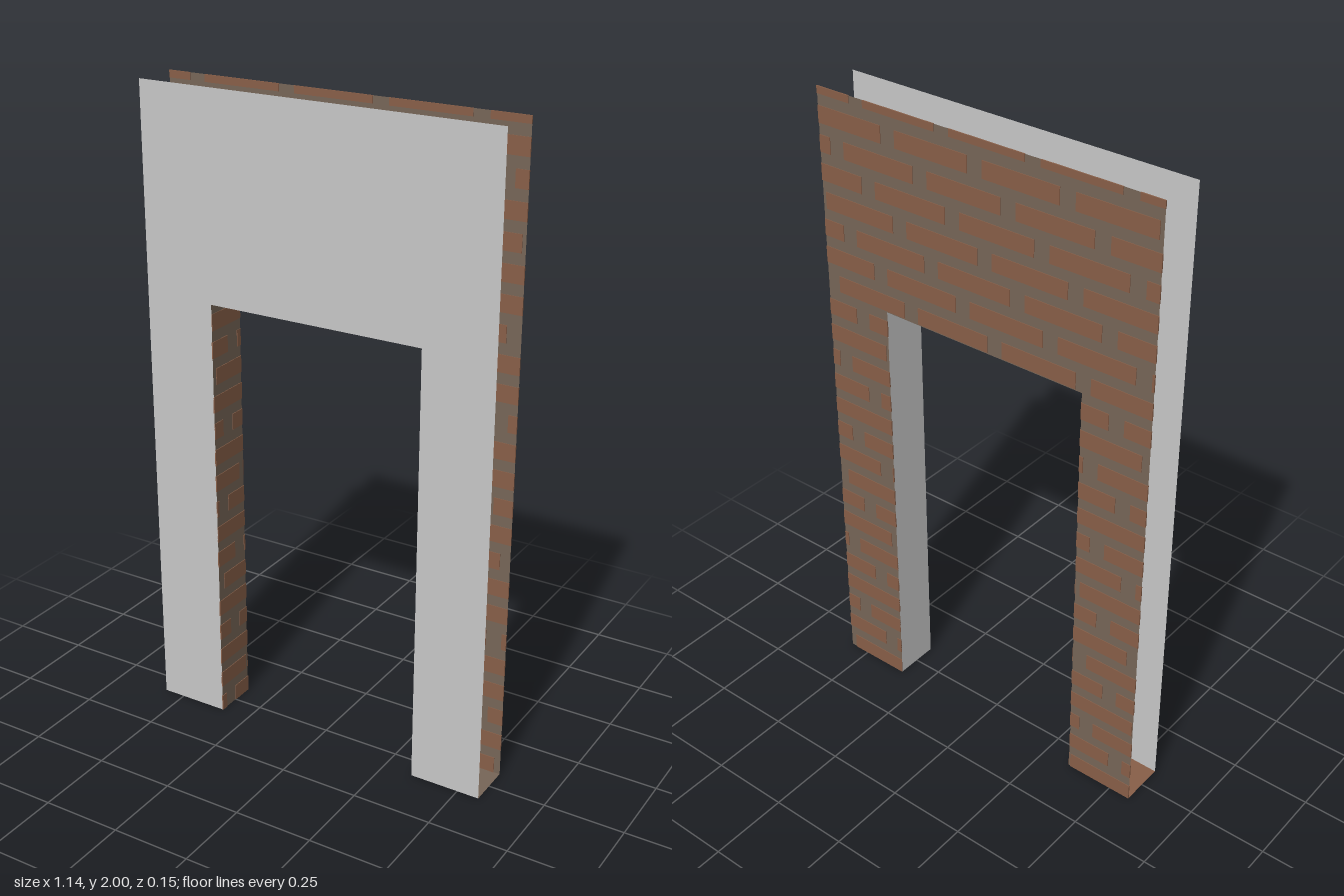
import * as THREE from 'three';
import { mergeGeometries } from 'three/addons/utils/BufferGeometryUtils.js';

const W = 0.57, H = 2, D = 0.072;      // half width, height, half depth
const OX = 0.345, OY = 1.372;          // doorway half width and height
const COURSE = 0.086, BRICK_H = 0.052; // brick course spacing and height
const BRICK_L = 0.25, GAP = 0.05;

export function createModel() {
  const paint = (name, color) => {
    const m = new THREE.MeshStandardMaterial({ color, side: THREE.DoubleSide });
    m.name = name;
    return m;
  };
  const plaster = paint('grey plaster', 0xc8c8c8);
  const brick = paint('red brown brick', 0x885f48);
  const mortar = paint('grey brown mortar', 0x776658);

  const model = new THREE.Group();
  model.name = 'doorwayWall';
  const add = (parent, name, geometry, material) => {
    const mesh = new THREE.Mesh(geometry, material);
    mesh.name = name;
    parent.add(mesh);
    return mesh;
  };

  // Wall outline with the doorway cut out of its lower edge
  const outline = new THREE.Shape([
    [-W, 0], [-OX, 0], [-OX, OY], [OX, OY], [OX, 0], [W, 0], [W, H], [-W, H],
  ].map(([x, y]) => new THREE.Vector2(x, y)));
  const wallGeometry = new THREE.ShapeGeometry(outline);

  // Staggered bricks clipped to rectangles; they show on both sides of a sheet
  const bricksIn = (rects) => {
    const parts = [];
    for (const [x0, x1, y0, y1] of rects) {
      for (let row = 0; row * COURSE < y1; row++) {
        const b = Math.max(y0, row * COURSE);
        const t = Math.min(y1, row * COURSE + BRICK_H);
        if (t - b < 0.004) continue;
        const shift = (row * 0.37 % 1) * (BRICK_L + GAP);
        for (let x = -1.2 + shift; x < x1; x += BRICK_L + GAP) {
          const l = Math.max(x0, x), r = Math.min(x1, x + BRICK_L);
          if (r - l < 0.004) continue;
          parts.push(new THREE.BoxGeometry(r - l, t - b, 0.004)
            .translate((l + r) / 2, (b + t) / 2, 0));
        }
      }
    }
    return mergeGeometries(parts);
  };

  // Plain front sheet
  add(model, 'frontFace', wallGeometry, plaster).position.z = D;

  // Brick back sheet
  const back = new THREE.Group();
  back.name = 'brickBack';
  back.position.z = -D;
  add(back, 'backMortar', wallGeometry, mortar);
  add(back, 'backBricks', bricksIn([
    [-W, -OX, 0, OY], [OX, W, 0, OY], [-W, W, OY, H],
  ]), brick);
  model.add(back);

  // Doorway lining: plain soffit and one plain jamb, one brick jamb
  const soffit = add(model, 'soffit', new THREE.PlaneGeometry(OX * 2, D * 2), plaster);
  soffit.rotation.x = Math.PI / 2;
  soffit.position.y = OY;

  const leftJamb = add(model, 'leftJamb', new THREE.PlaneGeometry(D * 2, OY), plaster);
  leftJamb.rotation.y = -Math.PI / 2;
  leftJamb.position.set(OX, OY / 2, 0);

  const rightJamb = new THREE.Group();
  rightJamb.name = 'rightJamb';
  rightJamb.rotation.y = Math.PI / 2;
  rightJamb.position.x = -OX;
  add(rightJamb, 'jambMortar', new THREE.PlaneGeometry(D * 2, OY).translate(0, OY / 2, 0), mortar);
  add(rightJamb, 'jambBricks', bricksIn([[-D, D, 0, OY]]), brick);
  model.add(rightJamb);

  // Closed undersides of the two piers, each with a mortar band
  for (const [name, x0, x1, m0, m1] of [
    ['rightFoot', -W, -OX, -0.47, -0.41],
    ['leftFoot', OX, W, 0.45, 0.57],
  ]) {
    const strip = (part, a, b, material) => {
      const mesh = add(model, name + part, new THREE.PlaneGeometry(b - a, D * 2), material);
      mesh.rotation.x = Math.PI / 2;
      mesh.position.x = (a + b) / 2;
    };
    strip('InnerBrick', x0, m0, brick);
    strip('Mortar', m0, m1, mortar);
    if (x1 > m1) strip('OuterBrick', m1, x1, brick);
  }
  return model;
}
